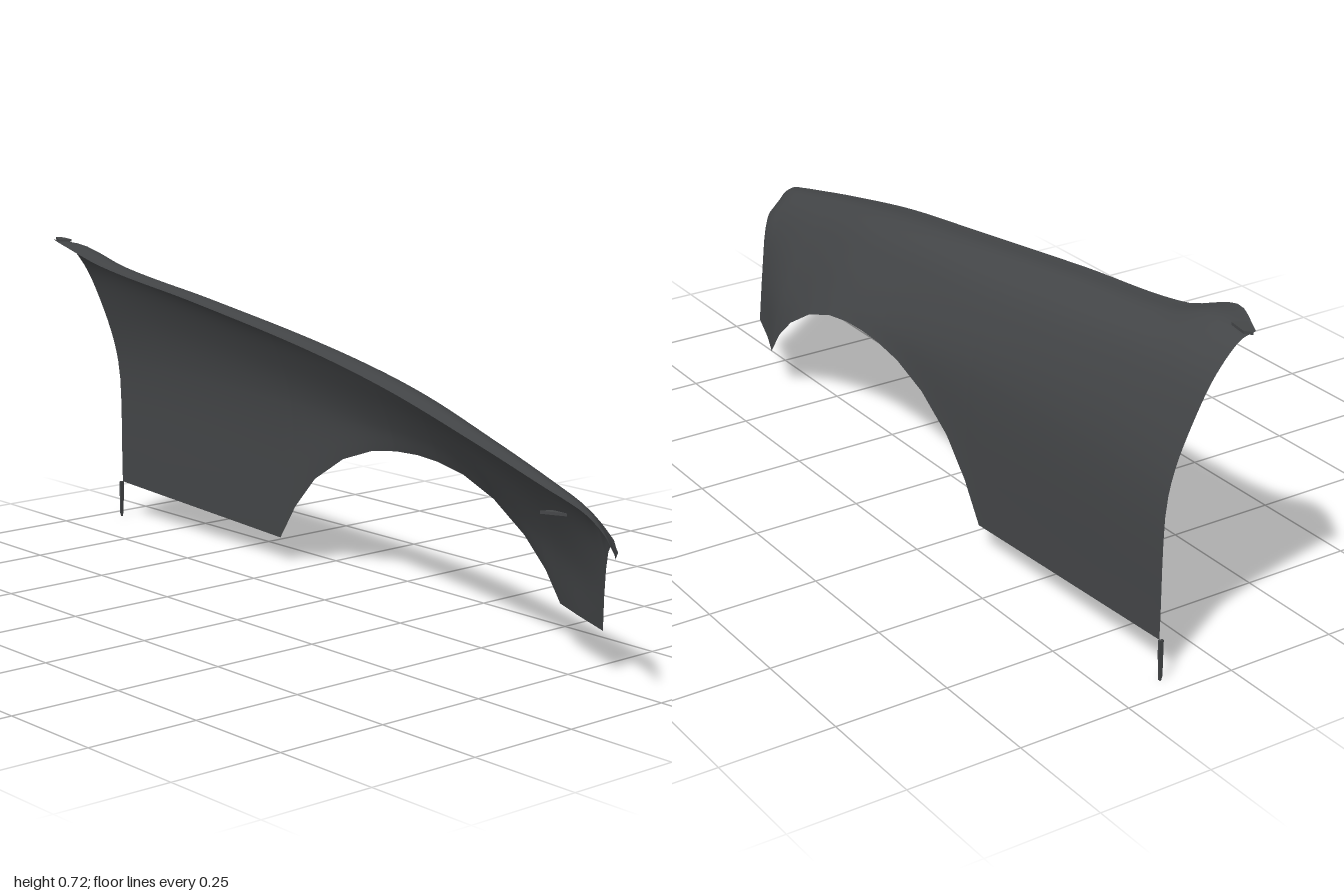
import * as THREE from 'three';

// Cross-sections: z, then five x,y points from the inner top edge down the side
const SECTIONS = [
  [-0.95, -0.025, 0.715, 0.01, 0.705, 0.06, 0.647, 0.1, 0.55, 0.135, 0.4],
  [-0.85, -0.078, 0.715, -0.01, 0.708, 0.055, 0.648, 0.1, 0.55, 0.135, 0.4],
  [-0.74, -0.06, 0.675, 0, 0.672, 0.053, 0.637, 0.1, 0.545, 0.135, 0.4],
  [-0.4, -0.062, 0.633, 0, 0.631, 0.055, 0.592, 0.1, 0.51, 0.133, 0.39],
  [0, -0.068, 0.578, -0.005, 0.577, 0.045, 0.547, 0.092, 0.47, 0.127, 0.385],
  [0.3, -0.087, 0.528, -0.03, 0.528, 0.02, 0.503, 0.07, 0.435, 0.112, 0.36],
  [0.6, -0.11, 0.46, -0.065, 0.46, -0.02, 0.432, 0.03, 0.36, 0.085, 0.24],
  [0.8, -0.125, 0.41, -0.09, 0.408, -0.05, 0.382, -0.01, 0.32, 0.02, 0.22],
  [0.86, -0.128, 0.395, -0.1, 0.392, -0.07, 0.373, -0.04, 0.342, -0.02, 0.305],
  [0.92, -0.133, 0.377, -0.115, 0.372, -0.095, 0.355, -0.075, 0.336, -0.06, 0.32],
  [0.97, -0.138, 0.348, -0.13, 0.342, -0.122, 0.332, -0.115, 0.323, -0.107, 0.315],
  [1, -0.14, 0.314, -0.14, 0.313, -0.14, 0.312, -0.14, 0.311, -0.14, 0.31],
];

// Lower outline: z, x, y along the sill, wheel arch, front leg and nose
const LOWER = [
  [-0.95, 0.142, 0.09], [-0.325, 0.142, 0.06], [-0.27, 0.142, 0.145], [-0.2, 0.142, 0.222],
  [-0.1, 0.141, 0.285], [0, 0.14, 0.32], [0.08, 0.139, 0.332], [0.15, 0.138, 0.335],
  [0.22, 0.136, 0.331], [0.3, 0.134, 0.317], [0.4, 0.129, 0.281], [0.5, 0.122, 0.222],
  [0.57, 0.115, 0.163], [0.62, 0.109, 0.101], [0.7, 0.075, 0.1], [0.81, 0.035, 0.097],
  [0.825, 0.02, 0.17], [0.845, 0.002, 0.235], [0.865, -0.014, 0.277], [0.89, -0.033, 0.3],
  [0.92, -0.055, 0.307], [0.97, -0.1, 0.31], [1, -0.14, 0.31],
];

// Table lookup by z, straight or smoothed
function sample(table, z, column, smooth) {
  let i = 0;
  while (i < table.length - 2 && z > table[i + 1][0]) i++;
  const a = table[i], b = table[i + 1], h = b[0] - a[0], t = (z - a[0]) / h;
  if (!smooth) return a[column] + (b[column] - a[column]) * t;
  const slope = (j) => {
    const p = table[Math.max(j - 1, 0)], q = table[Math.min(j + 1, table.length - 1)];
    return (q[column] - p[column]) / (q[0] - p[0]);
  };
  const t2 = t * t, t3 = t2 * t;
  return (2 * t3 - 3 * t2 + 1) * a[column] + (t3 - 2 * t2 + t) * h * slope(i)
    + (3 * t2 - 2 * t3) * b[column] + (t3 - t2) * h * slope(i + 1);
}

// One smooth section from the inner edge to the lower outline
function sectionAt(z) {
  const points = [];
  for (let k = 0; k < 5; k++) {
    points.push(new THREE.Vector3(sample(SECTIONS, z, 1 + 2 * k, true), sample(SECTIONS, z, 2 + 2 * k, true), z));
  }
  points.push(new THREE.Vector3(sample(LOWER, z, 1), sample(LOWER, z, 2), z));
  return new THREE.CatmullRomCurve3(points, false, 'centripetal');
}

// The rear edge sweeps back towards the top
function sweep(p) {
  const k = THREE.MathUtils.clamp((-p.z - 0.74) / 0.21, 0, 1);
  p.z -= k * 0.042 * THREE.MathUtils.smoothstep(p.y, 0.35, 0.74);
  return p;
}

function fenderSkin() {
  const stations = new Set(LOWER.map((row) => row[0]));
  for (let i = 0; i <= 78; i++) stations.add(+(-0.95 + i * 0.025).toFixed(3));
  const zs = [...stations].sort((a, b) => a - b);
  const steps = 30, positions = [], indices = [];
  zs.forEach((z, i) => {
    const curve = sectionAt(z);
    for (let j = 0; j <= steps; j++) {
      positions.push(...sweep(curve.getPoint(j / steps)).toArray());
      if (i < zs.length - 1 && j < steps) {
        const a = i * (steps + 1) + j, b = a + steps + 1;
        indices.push(a, b, a + 1, b, b + 1, a + 1);
      }
    }
  });
  const geometry = new THREE.BufferGeometry();
  geometry.setAttribute('position', new THREE.Float32BufferAttribute(positions, 3));
  geometry.setIndex(indices);
  geometry.computeVertexNormals();
  return geometry;
}

// Flat plate from x,z corners, laid level
function plate(corners, thickness) {
  const shape = new THREE.Shape(corners.map(([x, z]) => new THREE.Vector2(x, -z)));
  const geometry = new THREE.ExtrudeGeometry(shape, { depth: thickness, bevelEnabled: false });
  return geometry.rotateX(-Math.PI / 2);
}

export function createModel() {
  const group = new THREE.Group();
  group.name = 'frontFender';
  const material = new THREE.MeshStandardMaterial({ color: 0x444648, side: THREE.DoubleSide });
  const add = (name, geometry, x = 0, y = 0, z = 0) => {
    const mesh = new THREE.Mesh(geometry, material);
    mesh.name = name;
    mesh.position.set(x, y, z);
    group.add(mesh);
  };

  add('fenderSkin', fenderSkin());

  // Narrow tongue hanging below the rear edge
  const tongue = new THREE.Shape([[0.135, 0.09], [0.135, 0.01], [0.138, 0], [0.141, 0], [0.145, 0.06], [0.145, 0.09]]
    .map(([x, y]) => new THREE.Vector2(x, y)));
  add('rearTongue', new THREE.ExtrudeGeometry(tongue, { depth: 0.005, bevelEnabled: false }), 0, 0, -0.955);

  // Small mounting tabs at the rear top corner and the nose
  add('rearTab', plate([[-0.035, -0.955], [-0.012, -1], [0.0, -0.985], [-0.008, -0.94]], 0.006), 0, 0.713, 0);
  add('noseTab', plate([[-0.127, 0.86], [-0.15, 0.81], [-0.127, 0.82]], 0.006), 0, 0.365, 0);
  return group;
}
